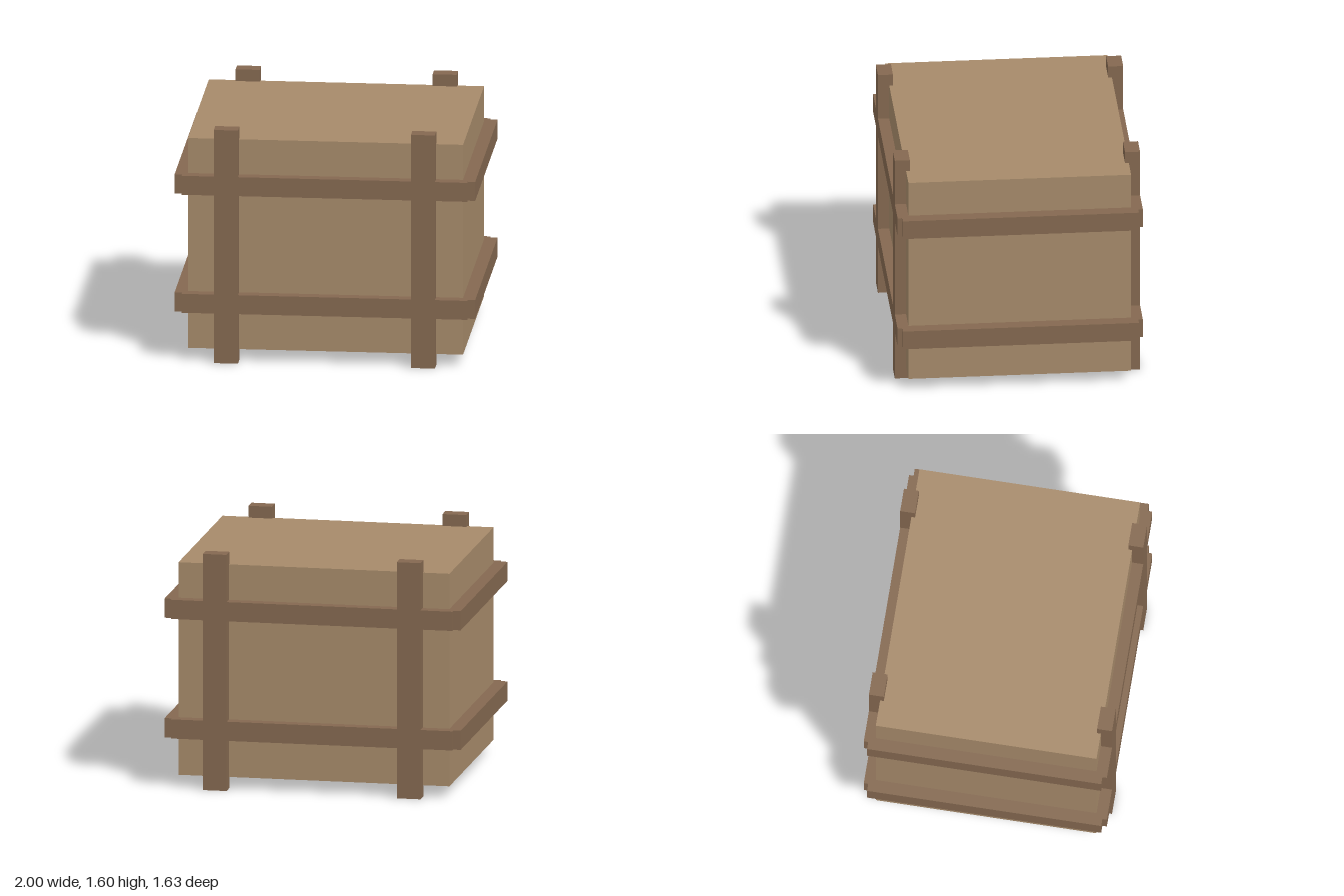
import * as THREE from 'three';

const lightWood = new THREE.MeshStandardMaterial({ name: 'light wood', color: 0xa68a6a });
const darkWood = new THREE.MeshStandardMaterial({ name: 'dark wood', color: 0x846850 });

// Adds a named box of size w, h, d centred on x, y, z
function addBox(parent, name, material, [w, h, d], [x, y, z]) {
  const mesh = new THREE.Mesh(new THREE.BoxGeometry(w, h, d), material);
  mesh.name = name;
  mesh.position.set(x, y, z);
  parent.add(mesh);
}

export function createModel() {
  const crate = new THREE.Group();
  crate.name = 'crate';

  // Solid body, raised off the ground by the posts
  addBox(crate, 'body', lightWood, [1.83, 1.44, 1.48], [0, 0.8, 0]);

  for (const side of [1, -1]) {
    const face = side > 0 ? 'front' : 'back';
    const flank = side > 0 ? 'left' : 'right';

    // Upright posts on the front and back
    for (const x of [0.655, -0.655]) {
      addBox(crate, `${face}${x > 0 ? 'Left' : 'Right'}Post`, darkWood,
        [0.16, 1.6, 0.1], [x, 0.8, side * 0.765]);
    }

    // Two bands of rails around all four sides
    for (const [level, y] of [['Lower', 0.405], ['Upper', 1.215]]) {
      addBox(crate, `${face}${level}Rail`, darkWood, [1.9, 0.13, 0.1], [0, y, side * 0.765]);
      addBox(crate, `${flank}${level}Rail`, darkWood, [0.1, 0.13, 1.57], [side * 0.95, y, 0]);
    }
  }
  return crate;
}
